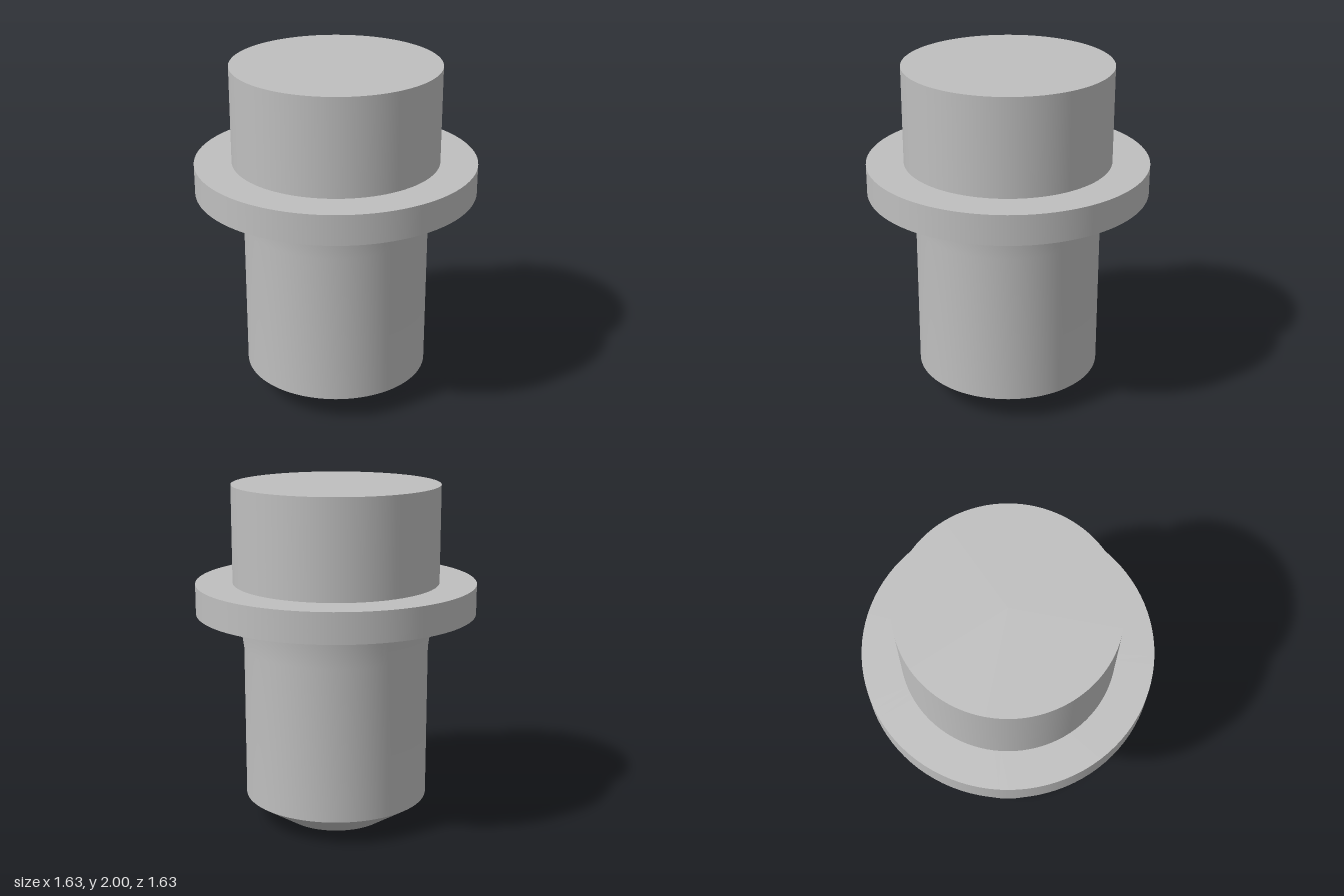
import * as THREE from 'three';
import { mergeGeometries } from 'three/addons/utils/BufferGeometryUtils.js';

const SEGMENTS = 96;

// Each band is a smooth run of [radius, y] points; edges between bands stay sharp.
function revolve(bands) {
  return mergeGeometries(bands.map((band) =>
    new THREE.LatheGeometry(band.map(([r, y]) => new THREE.Vector2(r, y)), SEGMENTS)));
}

export function createModel() {
  const group = new THREE.Group();
  group.name = 'flangedPin';
  const metal = new THREE.MeshStandardMaterial({ color: 0xbfbfbf });
  metal.name = 'grey metal';

  const add = (name, bands) => {
    const mesh = new THREE.Mesh(revolve(bands), metal);
    mesh.name = name;
    group.add(mesh);
  };

  // Flat end and bevelled tip
  add('chamferedTip', [
    [[0, 0], [0.305, 0]],
    [[0.305, 0], [0.54, 0.15]],
  ]);

  // Straight shaft that flares gently under the flange
  add('shaft', [
    [[0.54, 0.15], [0.54, 1.05], [0.57, 1.26]],
  ]);

  // Wide collar: underside, rim and upper face
  add('flange', [
    [[0.57, 1.26], [0.815, 1.26]],
    [[0.815, 1.26], [0.815, 1.435]],
    [[0.815, 1.435], [0.6, 1.435]],
  ]);

  // Cylindrical head with a flat top
  add('head', [
    [[0.6, 1.435], [0.6, 2]],
    [[0.6, 2], [0, 2]],
  ]);

  return group;
}
